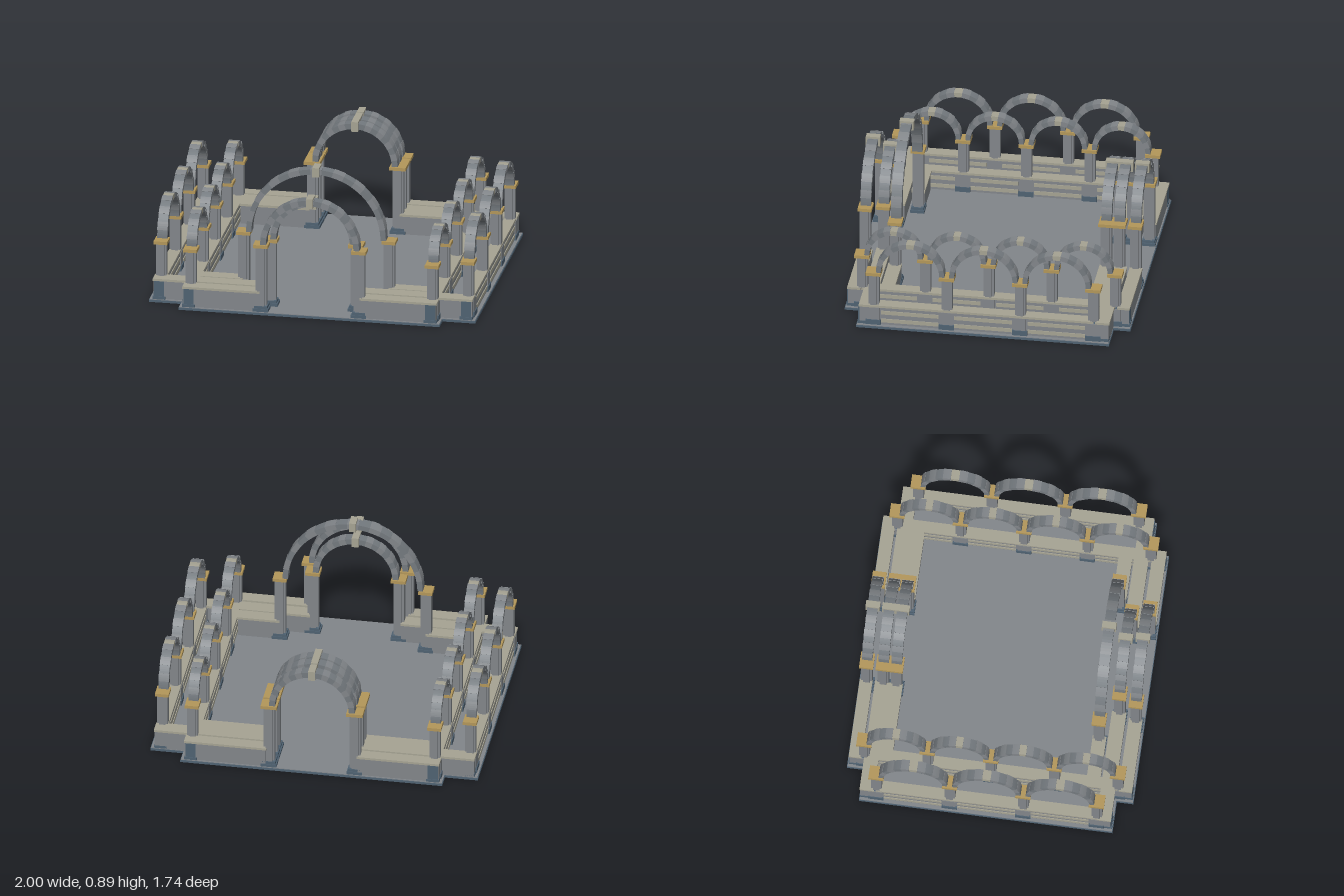
import * as THREE from 'three';

const mat = (name, color) => {
  const m = new THREE.MeshStandardMaterial({ color });
  m.name = name;
  m.flatShading = true;
  return m;
};

export function createModel() {
  const root = new THREE.Group();
  root.name = 'arcadedCourtyard';
  const stone = mat('greyStone', 0x82868a);
  const darkStone = mat('darkStone', 0x747a7f);
  const pale = mat('paleStone', 0xa6a393);
  const gold = mat('goldSandstone', 0xb3975a);
  const slate = mat('blueSlate', 0x4f6272);

  const FLOOR = 0.018, WALL = 0.132, TOP = 0.146;

  // Box given by its bottom height and top height
  function box(parent, name, m, w, y0, y1, d, x = 0, z = 0) {
    const b = new THREE.Mesh(new THREE.BoxGeometry(w, y1 - y0, d), m);
    b.position.set(x, (y0 + y1) / 2, z);
    b.name = name;
    parent.add(b);
    return b;
  }

  // Cross-shaped plate for the floor
  function crossPlate(name, m, inset, y, h) {
    const a = 1 - inset, b = 0.8 - inset, c = 0.77 - inset, d = 0.87 - inset;
    const pts = [[a, -c], [a, c], [b, c], [b, d], [-b, d], [-b, c],
      [-a, c], [-a, -c], [-b, -c], [-b, -d], [b, -d], [b, -c]];
    const shape = new THREE.Shape(pts.map(p => new THREE.Vector2(p[0], p[1])));
    const g = new THREE.ExtrudeGeometry(shape, { depth: h, bevelEnabled: false });
    g.rotateX(-Math.PI / 2);
    const p = new THREE.Mesh(g, m);
    p.position.y = y;
    p.name = name;
    root.add(p);
  }
  crossPlate('floorSlab', slate, 0, 0, 0.014);
  crossPlate('paving', stone, 0.004, 0.014, 0.004);

  // Wedge block of an arch, centred in depth
  function voussoir(r0, r1, a0, a1, depth) {
    const s = new THREE.Shape();
    s.absarc(0, 0, r1, a0, a1, false);
    s.absarc(0, 0, r0, a1, a0, true);
    const g = new THREE.ExtrudeGeometry(s, { depth, bevelEnabled: false, curveSegments: 2 });
    return g.translate(0, 0, -depth / 2);
  }

  // Semicircular arch of alternating blocks with a keystone at the crown
  function arch(r0, r1, depth, springY, blocks, bigKey) {
    const g = new THREE.Group();
    g.name = 'arch';
    for (let i = 0; i < blocks; i++) {
      const key = i === (blocks - 1) / 2;
      const d = depth * (i % 2 ? 1 : 0.96);
      const geo = voussoir(r0, r1 - (i % 2 ? 0 : 0.002),
        Math.PI * i / blocks, Math.PI * (i + 1) / blocks, d);
      const v = new THREE.Mesh(geo, key && !bigKey ? pale : i % 2 ? stone : darkStone);
      v.name = key ? 'crownBlock' : 'archBlock';
      v.position.y = springY;
      g.add(v);
    }
    if (bigKey) {
      box(g, 'keystone', pale, 0.042, springY + r0 - 0.012, springY + r1 + 0.012, depth + 0.02);
    }
    return g;
  }

  // Pier with a cross-shaped shaft, stepped base and gold capital
  function pier(parent, x, z, w, capY, capW, capD, baseY) {
    const g = new THREE.Group();
    g.name = 'pier';
    g.position.set(x, 0, z);
    parent.add(g);
    box(g, 'shaft', stone, w, baseY, capY - 0.02, w * 0.62);
    box(g, 'shaftCross', stone, w * 0.62, baseY, capY - 0.02, w);
    box(g, 'capital', gold, capW, capY - 0.02, capY, capD);
    return g;
  }

  // Gateway arches across the front and back: z, inner radius, outer radius, pier x
  const gates = [
    [0.82, 0.268, 0.305, 0.3, 0.09],
    [0.715, 0.225, 0.263, 0.262, 0.09],
    [0.615, 0.395, 0.43, 0.445, 0.085],
    [-0.64, 0.225, 0.263, 0.262, 0.1],
    [-0.72, 0.225, 0.263, 0.262, 0.1],
    [-0.82, 0.225, 0.263, 0.262, 0.1],
  ];
  for (const [z, r0, r1, px, capW] of gates) {
    const g = new THREE.Group();
    g.name = 'gateway';
    g.position.z = z;
    root.add(g);
    g.add(arch(r0, r1, 0.066, 0.445, 19, true));
    for (const s of [-1, 1]) {
      pier(g, s * px, 0, 0.066, 0.445, capW, 0.085, FLOOR);
      box(g, 'pierBase', slate, 0.095, FLOOR, 0.036, 0.085, s * px);
      box(g, 'pierBaseStep', slate, 0.08, 0.036, 0.052, 0.076, s * px);
    }
  }

  // Low walls beside the gateways: z, depth, inner x, outer x
  const lowWalls = [
    [0.817, 0.075, 0.31, 0.775],
    [0.713, 0.08, 0.28, 0.975],
    [0.617, 0.075, 0.45, 0.7],
    [-0.685, 0.16, 0.28, 0.7],
    [-0.725, 0.08, 0.7, 0.975],
    [-0.823, 0.07, 0.28, 0.775],
  ];
  for (const s of [-1, 1]) {
    for (const [z, d, x0, x1] of lowWalls) {
      const x = s * (x0 + x1) / 2;
      box(root, 'lowWall', stone, x1 - x0, FLOOR, WALL, d, x, z);
      box(root, 'wallCoping', pale, x1 - x0 + 0.008, WALL, TOP, d + 0.008, x, z);
    }
  }

  // Side arcade: wall, piers and a row of arches running along z
  function arcade(side, x, count, pitch, r1) {
    const g = new THREE.Group();
    g.name = 'sideArcade';
    g.position.x = side * x;
    root.add(g);
    const half = count * pitch / 2;
    box(g, 'arcadeWall', stone, 0.066, FLOOR, WALL, half * 2);
    box(g, 'arcadeCoping', pale, 0.072, WALL, TOP, half * 2);
    for (let i = 0; i <= count; i++) {
      const z = -half + i * pitch;
      pier(g, 0, z, 0.064, 0.37, 0.084, 0.092, TOP);
      box(g, 'pedestal', stone, 0.078, FLOOR, WALL, 0.075, 0, z);
      box(g, 'pedestalBase', slate, 0.088, FLOOR, 0.05, 0.092, 0, z);
      if (i === count) continue;
      const a = arch(r1 - 0.032, r1, 0.064, 0.37, 13, false);
      a.rotation.y = Math.PI / 2;
      a.position.z = z + pitch / 2;
      g.add(a);
      // Pale stone courses on both faces of the wall
      for (const f of [-1, 1]) {
        for (const [y0, y1] of [[0.034, 0.058], [0.088, 0.112]]) {
          box(g, 'paleCourse', pale, 0.006, y0, y1, pitch - 0.095,
            f * 0.035, z + pitch / 2);
        }
      }
    }
    // Slate posts closing the ends
    for (const f of [-1, 1]) {
      const end = x > 0.9 ? 0.717 : 0.815;
      box(g, 'cornerPost', slate, 0.062, FLOOR, WALL, 0.088, 0, f * end);
      box(g, 'cornerPostFoot', slate, 0.078, FLOOR, 0.035, 0.096, 0, f * end);
    }
  }
  for (const s of [-1, 1]) {
    arcade(s, 0.94, 3, 0.446, 0.21);
    arcade(s, 0.74, 4, 0.385, 0.18);
  }
  return root;
}
